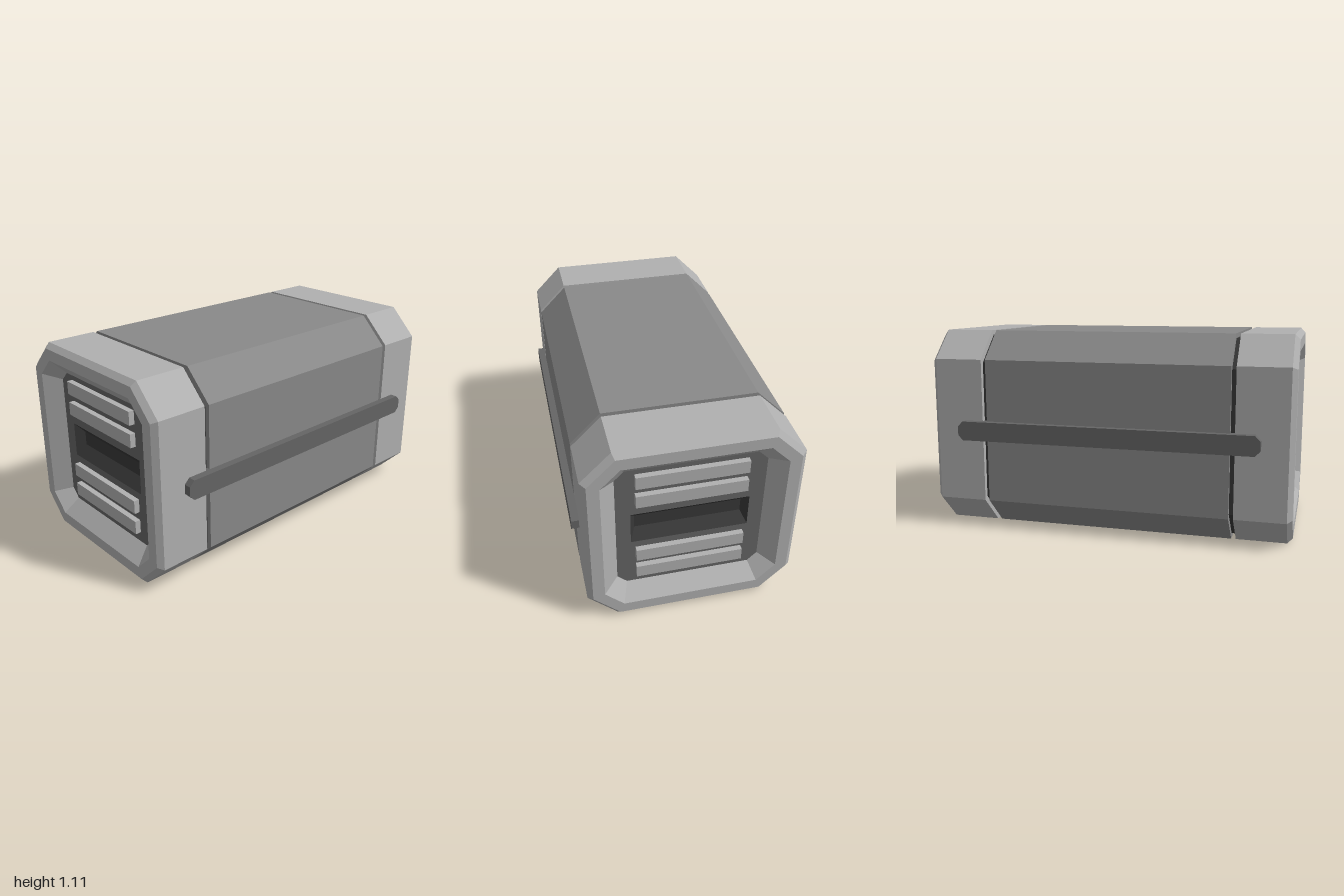
import * as THREE from 'three';

const MID = 0.5525; // height of the long axis

function material(name, color) {
  const m = new THREE.MeshStandardMaterial({ color });
  m.name = name;
  return m;
}

// Corner points of a chamfered rectangle, counter-clockwise
function outline(w, h, c) {
  if (c === 0) return [[-w, -h], [w, -h], [w, h], [-w, h]];
  return [
    [-w + c, -h], [w - c, -h], [w, -h + c], [w, h - c],
    [w - c, h], [-w + c, h], [-w, h - c], [-w, -h + c],
  ];
}

// Flat-faced skin through rings of [x, half width, half height, chamfer]
function loft(rings) {
  const pos = [];
  const loops = rings.map(([x, w, h, c]) => outline(w, h, c).map(([u, v]) => [x, v, -u]));
  for (let r = 0; r < loops.length - 1; r++) {
    const a = loops[r], b = loops[r + 1], n = a.length;
    for (let i = 0; i < n; i++) {
      const j = (i + 1) % n;
      pos.push(...a[i], ...a[j], ...b[j], ...a[i], ...b[j], ...b[i]);
    }
  }
  const g = new THREE.BufferGeometry();
  g.setAttribute('position', new THREE.Float32BufferAttribute(pos, 3));
  g.computeVertexNormals();
  return g;
}

const toShape = (pts) => new THREE.Shape(pts.map(([x, y]) => new THREE.Vector2(x, y)));

export function createModel() {
  const light = material('light grey', 0xb0b0b0);
  const middle = material('middle grey', 0x898989);
  const dark = material('dark grey', 0x656565);
  const black = material('charcoal', 0x373737);

  const model = new THREE.Group();
  model.name = 'container';
  const body = new THREE.Group();
  body.name = 'body';
  body.position.y = MID;
  model.add(body);

  function add(parent, name, geometry, mat) {
    const mesh = new THREE.Mesh(geometry, mat);
    mesh.name = name;
    parent.add(mesh);
    return mesh;
  }

  // Central shell, and the recessed core that shows in the two seams
  add(body, 'centralShell', loft([
    [-0.675, 0.5, 0.5, 0.14], [-0.675, 0.5525, 0.5525, 0.155],
    [0.675, 0.5525, 0.5525, 0.155], [0.675, 0.5, 0.5, 0.14],
  ]), middle);
  add(body, 'seamCore', loft([[-0.72, 0.527, 0.527, 0.147], [0.72, 0.527, 0.527, 0.147]]), black);

  for (const side of [1, -1]) {
    const end = new THREE.Group();
    end.name = side > 0 ? 'leftEnd' : 'rightEnd';
    if (side < 0) end.rotation.y = Math.PI;
    body.add(end);

    // End cap: outer wall, bevel, rim and sloping inner wall
    add(end, 'endCap', loft([
      [0.70, 0.5, 0.5, 0.14], [0.70, 0.5525, 0.5525, 0.155],
      [0.973, 0.5525, 0.5525, 0.155], [1, 0.525, 0.525, 0.14],
      [1, 0.463, 0.463, 0.10], [0.92, 0.383, 0.383, 0.05],
    ]), light);

    // Sunken panel with an opening for the handle slot
    const panel = toShape(outline(0.384, 0.384, 0.05));
    panel.holes.push(new THREE.Path(outline(0.307, 0.095, 0).reverse()
      .map(([x, y]) => new THREE.Vector2(x, y))));
    const panelGeometry = new THREE.ShapeGeometry(panel);
    panelGeometry.rotateY(Math.PI / 2).translate(0.92, 0, 0);
    add(end, 'endPanel', panelGeometry, dark);

    // Tapered slot
    add(end, 'slotWalls', loft([[0.92, 0.307, 0.095, 0], [0.87, 0.28, 0.038, 0]]), black);
    const slotBack = new THREE.PlaneGeometry(0.56, 0.076);
    slotBack.rotateY(Math.PI / 2).translate(0.87, 0, 0);
    add(end, 'slotBack', slotBack, black);

    // Raised slats above and below the slot
    for (const y of [-0.29, -0.17, 0.2, 0.32]) {
      const slat = add(end, 'slat', new THREE.BoxGeometry(0.04, 0.073, 0.568), light);
      slat.position.set(0.93, y, 0);
    }
  }

  // Side rails with clipped ends
  for (const side of [1, -1]) {
    const rail = new THREE.ExtrudeGeometry(toShape(outline(0.833, 0.053, 0.028)),
      { depth: 0.06, bevelEnabled: false });
    rail.translate(0, 0, 0.532);
    const mesh = add(body, side > 0 ? 'frontRail' : 'backRail', rail, dark);
    mesh.position.y = 0.003;
    if (side < 0) mesh.rotation.y = Math.PI;
  }
  return model;
}
